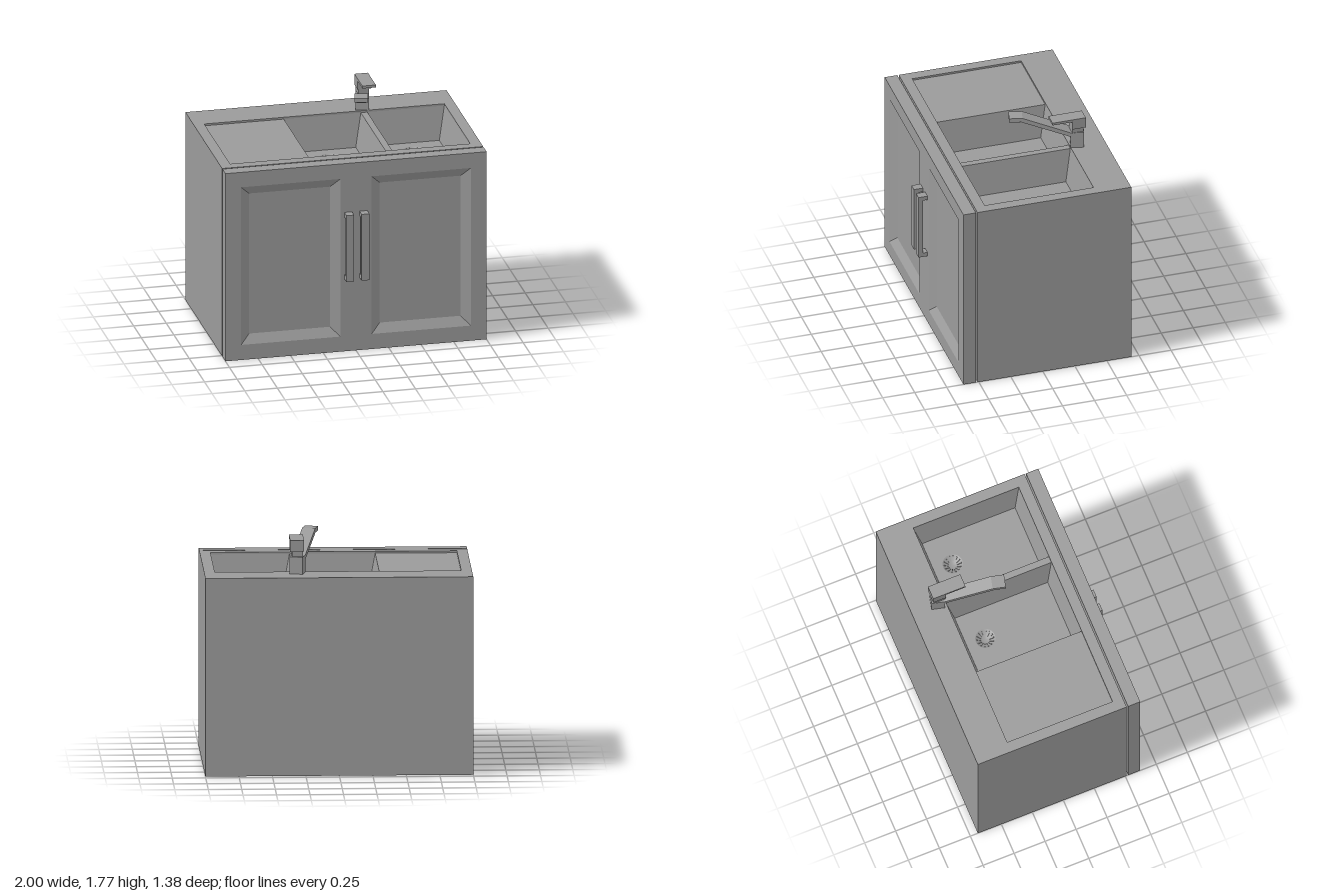
import * as THREE from 'three';

const grey = new THREE.MeshStandardMaterial({ color: 0x9b9b9b, side: THREE.DoubleSide });
grey.name = 'grey';

function add(parent, name, geometry, x = 0, y = 0, z = 0) {
  const mesh = new THREE.Mesh(geometry, grey);
  mesh.name = name;
  mesh.position.set(x, y, z);
  parent.add(mesh);
  return mesh;
}

// Box given by its minimum and maximum corners
function block(parent, name, [x0, y0, z0], [x1, y1, z1]) {
  return add(parent, name, new THREE.BoxGeometry(x1 - x0, y1 - y0, z1 - z0),
    (x0 + x1) / 2, (y0 + y1) / 2, (z0 + z1) / 2);
}

// Flat-shaded walls through rectangular sections [x0, z0, x1, z1, y], with optional caps
function loft(sections, capStart, capEnd) {
  const rings = sections.map(([x0, z0, x1, z1, y]) =>
    [[x0, y, z1], [x1, y, z1], [x1, y, z0], [x0, y, z0]]);
  const points = [];
  const quad = (a, b, c, d) => points.push(...a, ...b, ...c, ...a, ...c, ...d);
  for (let i = 0; i + 1 < rings.length; i++) {
    for (let k = 0; k < 4; k++) {
      const n = (k + 1) % 4;
      quad(rings[i][k], rings[i][n], rings[i + 1][n], rings[i + 1][k]);
    }
  }
  if (capStart) quad(...rings[0].slice().reverse());
  if (capEnd) quad(...rings[rings.length - 1]);
  const geometry = new THREE.BufferGeometry();
  geometry.setAttribute('position', new THREE.Float32BufferAttribute(points, 3));
  geometry.computeVertexNormals();
  return geometry;
}

function rectangle(PathType, x0, y0, x1, y1) {
  return new PathType([[x0, y0], [x1, y0], [x1, y1], [x0, y1]].map(p => new THREE.Vector2(...p)));
}

const TOP = 1.5, DECK = 1.485, FLOOR = 1.23;
const Z0 = -0.42, Z1 = 0.43;

// Sloped basin with a strainer drain in its floor
function makeBasin(x0, x1) {
  const basin = new THREE.Group();
  basin.name = 'basin';
  const s = 0.05, cx = (x0 + x1) / 2 + 0.01, cz = -0.22, r = 0.076;
  add(basin, 'basinWalls', loft([
    [x0, Z0, x1, Z1, DECK],
    [x0 + s, Z0 + s, x1 - s, Z1 - s, FLOOR],
  ]));
  const floor = rectangle(THREE.Shape, x0 + s, -Z1 + s, x1 - s, -Z0 - s);
  floor.holes.push(new THREE.Path().absarc(cx, -cz, r, 0, Math.PI * 2, true));
  add(basin, 'basinFloor', new THREE.ShapeGeometry(floor, 16).rotateX(-Math.PI / 2), 0, FLOOR, 0);

  const drain = new THREE.Group();
  drain.name = 'drain';
  drain.position.set(cx, FLOOR, cz);
  const dish = [[r, 0], [0.066, -0.005], [0.032, -0.03], [0, -0.03]];
  add(drain, 'drainDish', new THREE.LatheGeometry(dish.map(p => new THREE.Vector2(...p)), 32));
  for (let i = 0; i < 14; i++) {
    const spoke = new THREE.Group();
    spoke.name = 'drainSpoke';
    spoke.rotation.y = i / 14 * Math.PI * 2;
    add(spoke, 'drainRib', new THREE.BoxGeometry(0.04, 0.012, 0.007), 0.05, -0.016, 0).rotation.z = 0.6;
    drain.add(spoke);
  }
  basin.add(drain);
  return basin;
}

// Door slab with two bevelled, recessed panels
function makeFront() {
  const front = new THREE.Group();
  front.name = 'cabinetFront';
  const back = 0.522, face = 0.62, depth = 0.04, bevel = 0.07;
  add(front, 'frontSides', loft([[-1, -TOP, 1, 0, back], [-1, -TOP, 1, 0, face]], true, false)
    .rotateX(Math.PI / 2));
  const frame = rectangle(THREE.Shape, -1, 0, 1, TOP);
  for (const [x0, x1] of [[-0.88, -0.12], [0.12, 0.88]]) {
    frame.holes.push(rectangle(THREE.Path, x0, 0.12, x1, 1.38));
    add(front, 'doorPanel', loft([
      [x0, -1.38, x1, -0.12, face],
      [x0 + bevel, -1.38 + bevel, x1 - bevel, -0.12 - bevel, face - depth],
    ], false, true).rotateX(Math.PI / 2));
  }
  add(front, 'doorFrame', new THREE.ShapeGeometry(frame), 0, 0, face);

  // Square pull handles
  for (const x of [-0.06, 0.057]) {
    block(front, 'handleBar', [x - 0.03, 0.58, 0.655], [x + 0.03, 1.11, 0.69]);
    for (const y of [0.58, 1.077]) {
      block(front, 'handleLeg', [x - 0.03, y, 0.62], [x + 0.03, y + 0.033, 0.656]);
    }
  }
  return front;
}

function makeFaucet() {
  const faucet = new THREE.Group();
  faucet.name = 'faucet';
  faucet.position.set(0.305, 0, -0.48);

  // Base and spout share one side profile, turned slightly to the right
  const swivel = new THREE.Group();
  swivel.name = 'spoutSwivel';
  swivel.rotation.y = -0.245;
  const profile = [[-0.05, TOP], [0.05, TOP], [0.05, 1.595], [0.42, 1.737], [0.51, 1.737],
    [0.51, 1.77], [0.41, 1.77], [0.05, 1.63], [-0.05, 1.63]];
  const spout = new THREE.ExtrudeGeometry(new THREE.Shape(profile.map(p => new THREE.Vector2(...p))),
    { depth: 0.1, bevelEnabled: false });
  add(swivel, 'spout', spout.translate(0, 0, -0.05).rotateY(-Math.PI / 2));
  block(swivel, 'aerator', [-0.035, 1.725, 0.425], [0.035, 1.738, 0.485]);
  faucet.add(swivel);

  // Straight lever on a narrower neck
  block(faucet, 'leverNeck', [-0.042, 1.625, -0.037], [0.042, 1.675, 0.05]);
  block(faucet, 'leverBlock', [-0.048, 1.67, -0.052], [0.056, 1.755, 0.052]);
  block(faucet, 'lever', [-0.048, 1.735, 0.05], [0.056, 1.755, 0.208]);
  return faucet;
}

export function createModel() {
  const model = new THREE.Group();
  model.name = 'sinkCabinet';

  // Carcass with a shallow recess in its top
  add(model, 'cabinetBody', loft([
    [-1, -0.69, 1, 0.51, 0],
    [-1, -0.69, 1, 0.51, TOP],
    [-0.92, Z0, 0.92, Z1, TOP],
    [-0.92, Z0, 0.92, Z1, DECK],
  ], true, false));

  // Drainboard and divider lie at the bottom of the recess
  for (const [name, x0, x1] of [['drainboard', -0.92, -0.31], ['basinDivider', 0.28, 0.33]]) {
    add(model, name, loft([[x0, Z0, x1, Z1, DECK]], false, true));
  }
  model.add(makeBasin(-0.31, 0.28), makeBasin(0.33, 0.92), makeFront(), makeFaucet());
  return model;
}
